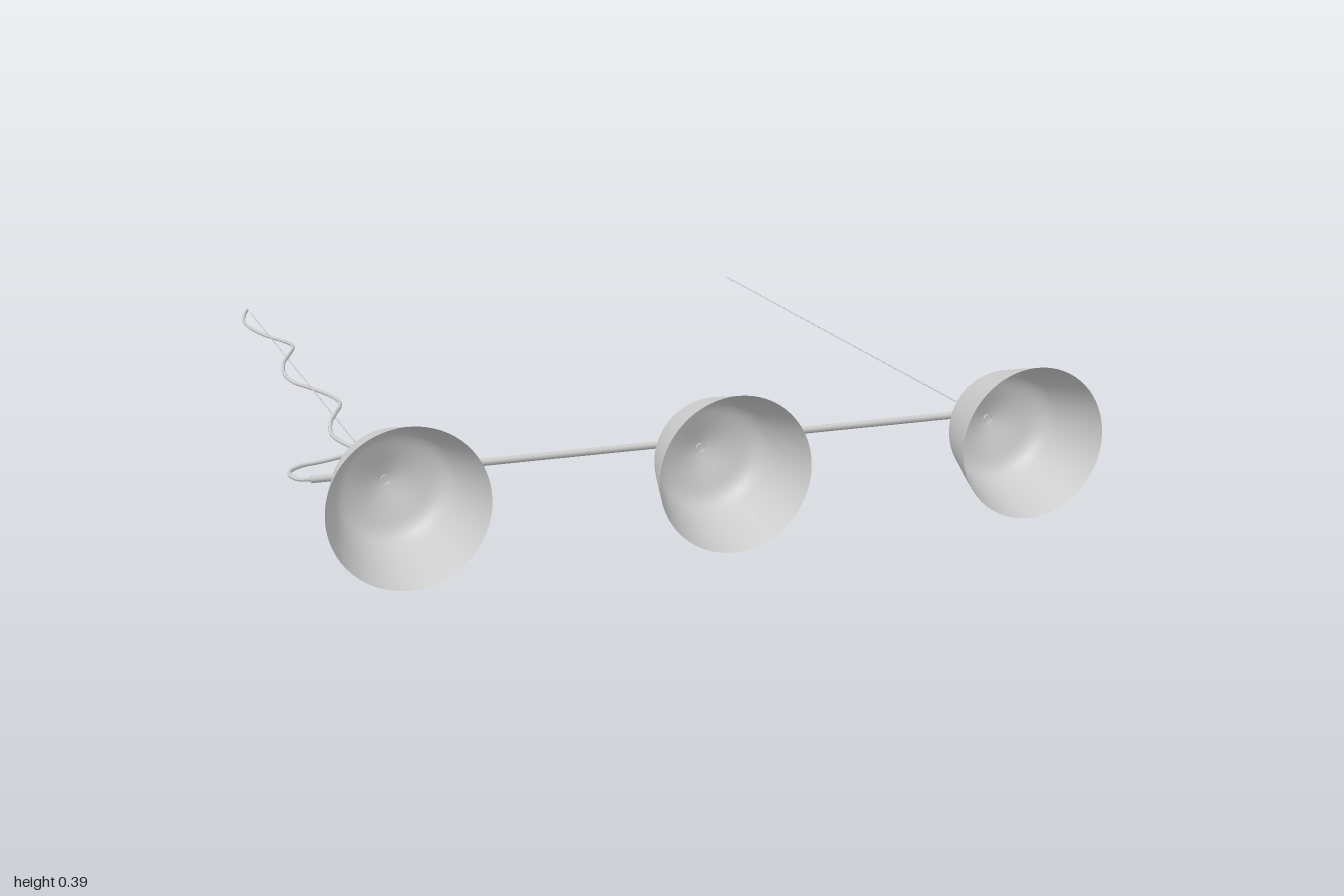
import * as THREE from 'three';

const material = new THREE.MeshStandardMaterial({ color: 0xcccccc });
const thinMaterial = new THREE.MeshStandardMaterial({ color: 0xcccccc, side: THREE.DoubleSide });

const AXIS_Y = 0.195;  // height of the lamp axes
const BAR_Z = 0.711;   // depth of the crossbar
const LAMP_X = [-0.785, 0.005, 0.795];

function add(parent, name, geometry, mat = material) {
  const mesh = new THREE.Mesh(geometry, mat);
  mesh.name = name;
  parent.add(mesh);
  return mesh;
}

// Rod along x or z between two coordinates, centred on the local axis
function rod(radius, from, to, axis, sides = 20) {
  const g = new THREE.CylinderGeometry(radius, radius, to - from, sides);
  g.translate(0, (from + to) / 2, 0);
  return axis === 'x' ? g.rotateZ(-Math.PI / 2) : g.rotateX(Math.PI / 2);
}

// Profile of [radius, z] points revolved around the z axis
function revolve(points, segments) {
  const g = new THREE.LatheGeometry(points.map(([r, z]) => new THREE.Vector2(r, z)), segments);
  return g.rotateX(Math.PI / 2);
}

function createLamp() {
  const lamp = new THREE.Group();
  lamp.name = 'lamp';

  // Shade: shallow cone, rounded shoulder, flared skirt
  const shoulder = new THREE.CubicBezierCurve(
    new THREE.Vector2(0.09, 0.790), new THREE.Vector2(0.122, 0.799),
    new THREE.Vector2(0.138, 0.812), new THREE.Vector2(0.147, 0.84));
  const outer = [[0, 0.765], [0.016, 0.765], [0.05, 0.777],
    ...shoulder.getPoints(10).map((p) => [p.x, p.y]), [0.170, 0.918], [0.193, 1]];
  add(lamp, 'shade', revolve(outer, 64), thinMaterial);

  // Stem flaring into the sleeve on the bar
  add(lamp, 'stem', revolve([[0.02, BAR_Z + 0.005], [0.015, BAR_Z + 0.012],
    [0.012, BAR_Z + 0.02], [0.011, BAR_Z + 0.028], [0.011, 0.77]], 20), thinMaterial);

  const sleeve = add(lamp, 'sleeve', rod(0.0098, -0.077, 0.077, 'x'));
  sleeve.position.z = BAR_Z;
  return lamp;
}

export function createModel() {
  const model = new THREE.Group();
  model.name = 'pendantLamp';

  for (const x of LAMP_X) {
    const lamp = createLamp();
    lamp.position.set(x, AXIS_Y, 0);
    model.add(lamp);
  }

  const bar = add(model, 'crossbar', rod(0.009, -0.95, 0.95, 'x'));
  bar.position.set(0, AXIS_Y, BAR_Z);

  // Two thin suspension wires
  for (const x of [LAMP_X[0], LAMP_X[2]]) {
    const wire = add(model, 'suspensionWire', rod(0.0015, -1, BAR_Z, 'z', 8));
    wire.position.set(x, AXIS_Y, 0);
  }

  // Power cable: loops out of the bar end, then winds along the wire
  const path = [
    [-0.94, 0.195, 0.711], [-0.975, 0.195, 0.702], [-0.989, 0.195, 0.67], [-0.982, 0.195, 0.63],
    [-0.95, 0.197, 0.604], [-0.90, 0.199, 0.594], [-0.835, 0.203, 0.576], [-0.79, 0.201, 0.545],
    [-0.783, 0.190, 0.50], [-0.805, 0.188, 0.44], [-0.825, 0.194, 0.37], [-0.815, 0.203, 0.30],
    [-0.785, 0.206, 0.22], [-0.756, 0.201, 0.14], [-0.745, 0.197, 0.07], [-0.755, 0.193, -0.01],
    [-0.785, 0.189, -0.11], [-0.815, 0.189, -0.18], [-0.826, 0.194, -0.25], [-0.815, 0.205, -0.32],
    [-0.785, 0.208, -0.40], [-0.755, 0.203, -0.49], [-0.745, 0.197, -0.56], [-0.755, 0.190, -0.64],
    [-0.787, 0.187, -0.73], [-0.815, 0.191, -0.81], [-0.826, 0.196, -0.88], [-0.817, 0.201, -0.94],
    [-0.797, 0.205, -1],
  ].map((p) => new THREE.Vector3(...p));
  add(model, 'powerCable',
    new THREE.TubeGeometry(new THREE.CatmullRomCurve3(path), 220, 0.005, 10), thinMaterial);

  return model;
}
